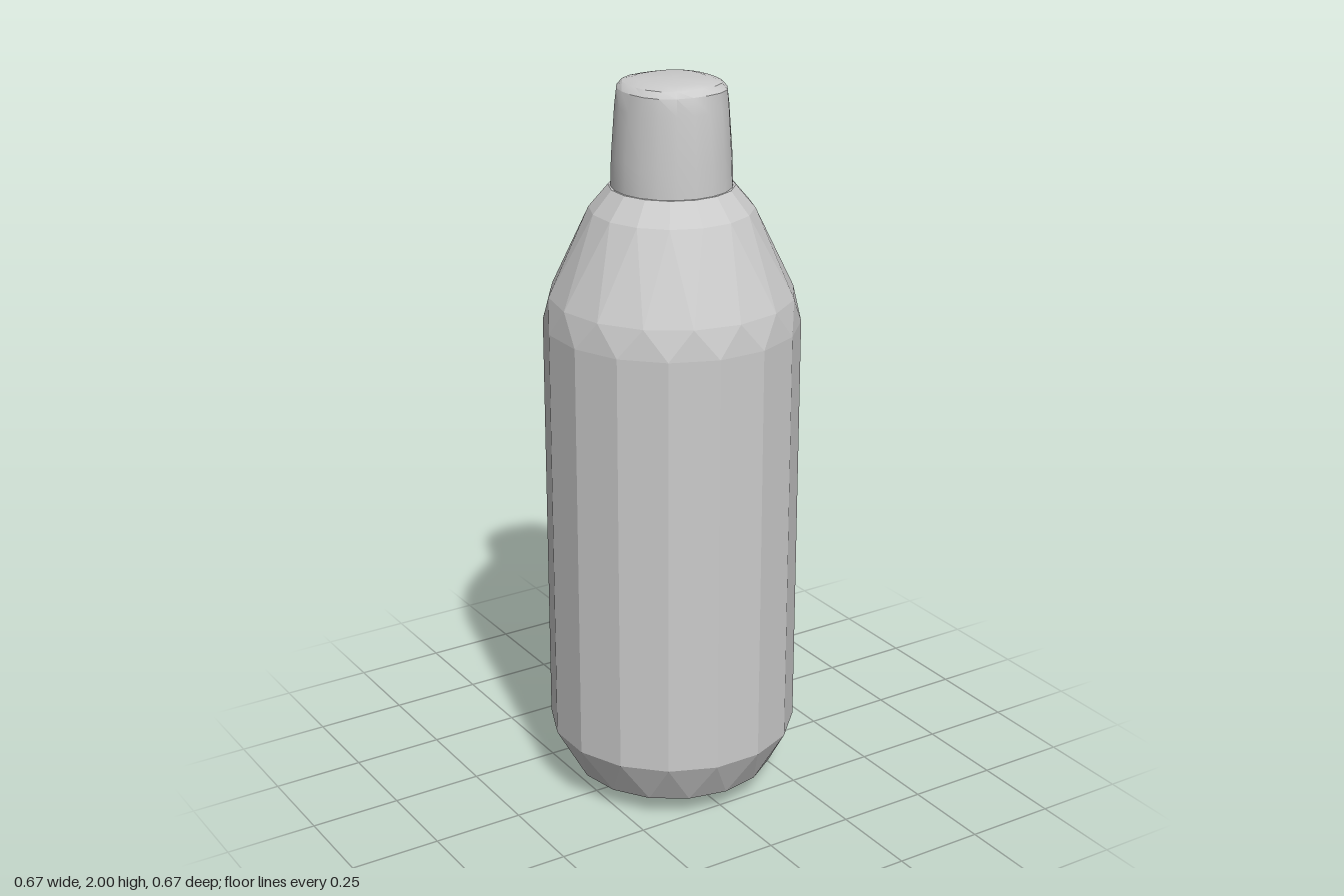
import * as THREE from 'three';
import { toCreasedNormals } from 'three/addons/utils/BufferGeometryUtils.js';

// Lathe whose rings [radius, y, twist in steps, squareness] can be staggered into triangles
function facetedLathe(rings, sides) {
  const step = (Math.PI * 2) / sides;
  const geo = new THREE.LatheGeometry(rings.map(([r, y]) => new THREE.Vector2(r, y)), sides);
  const pos = geo.attributes.position;
  for (let i = 0; i < pos.count; i++) {
    const [r, y, twist = 0, square = 0] = rings[i % rings.length];
    const a = (Math.floor(i / rings.length) + 0.5 + twist) * step;
    const radius = r * (1 - square * Math.cos(4 * a));
    pos.setXYZ(i, radius * Math.sin(a), y, radius * Math.cos(a));
  }
  return geo;
}

export function createModel() {
  const group = new THREE.Group();

  // Body: shallow pointed base, straight walls, staggered shoulder facets
  const bodyGeo = facetedLathe([
    [0, 0, -0.5],
    [0.28, 0.058, -0.5],
    [0.342, 0.18, 0],
    [0.342, 1.35, 0],
    [0.327, 1.43, 0.5],
    [0.217, 1.66, 1],
    [0.166, 1.72, 1],
    [0, 1.72, 1],
  ], 16);
  const body = new THREE.Mesh(bodyGeo, new THREE.MeshStandardMaterial({ color: 0xcccccc, flatShading: true }));
  body.name = 'body';
  group.add(body);

  // Cap: tapered, with a softly squared, rounded top
  const capGeo = toCreasedNormals(facetedLathe([
    [0, 1.715],
    [0.16, 1.715],
    [0.157, 1.8],
    [0.147, 1.93, 0, 0.015],
    [0.141, 1.975, 0, 0.03],
    [0.126, 1.991, 0, 0.04],
    [0.095, 1.998, 0, 0.05],
    [0, 2],
  ], 20), 0.6);
  const cap = new THREE.Mesh(capGeo, new THREE.MeshStandardMaterial({ color: 0xcccccc }));
  cap.name = 'cap';
  group.add(cap);

  return group;
}
